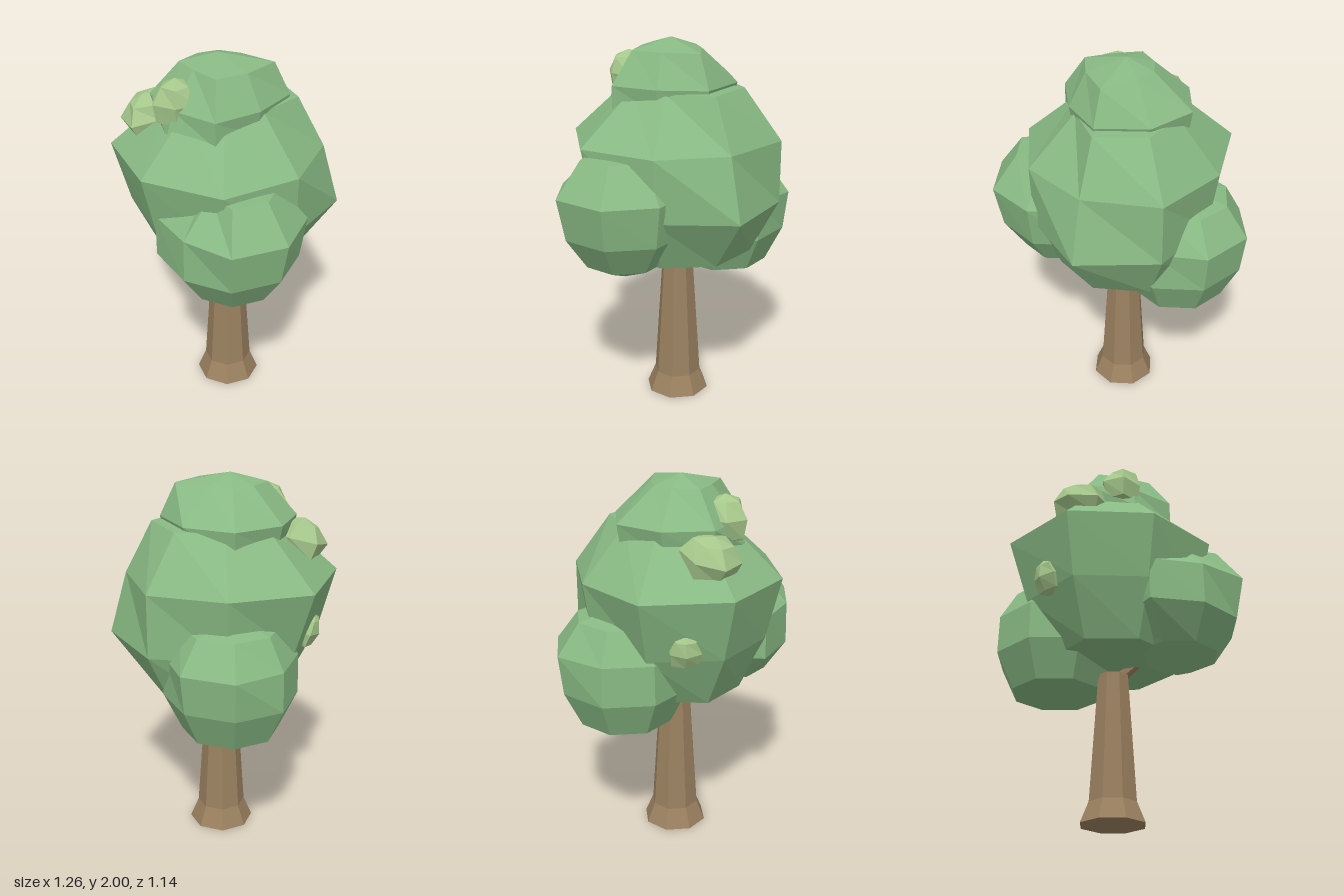
import * as THREE from 'three';

const material = (color) => new THREE.MeshStandardMaterial({ color, flatShading: true });

// Faceted solid from stacked rings [y, radius or radii per side]; radius 0 is a pole.
// Side 0 points to +x and the sides run towards +z.
function ringSolid(rings, sides) {
  const point = (j, k) => {
    const [y, radius] = rings[j];
    const r = Array.isArray(radius) ? radius[k % sides] : radius;
    const a = (k / sides) * Math.PI * 2;
    return [r * Math.cos(a), y, r * Math.sin(a)];
  };
  const positions = [];
  for (let j = 0; j < rings.length - 1; j++) {
    for (let k = 0; k < sides; k++) {
      const a = point(j, k), b = point(j, k + 1), c = point(j + 1, k + 1), d = point(j + 1, k);
      if (rings[j + 1][1] !== 0) positions.push(...a, ...d, ...c);
      if (rings[j][1] !== 0) positions.push(...a, ...c, ...b);
    }
  }
  const geometry = new THREE.BufferGeometry();
  geometry.setAttribute('position', new THREE.Float32BufferAttribute(positions, 3));
  geometry.computeVertexNormals();
  return geometry;
}

export function createModel() {
  const tree = new THREE.Group();
  tree.name = 'tree';
  const bark = material(0x9b8160);
  const leaf = material(0x88b983);
  const lightLeaf = material(0xa6c88c);

  const add = (name, geometry, mat, x = 0, y = 0, z = 0) => {
    const mesh = new THREE.Mesh(geometry, mat);
    mesh.name = name;
    mesh.position.set(x, y, z);
    tree.add(mesh);
    return mesh;
  };

  // Trunk with flared foot
  add('trunk', ringSolid([
    [0, 0], [0, 0.175], [0.11, 0.13], [0.8, 0.085], [0.81, 0],
  ], 8), bark, -0.025);

  // Short branches into the side clumps
  const up = new THREE.Vector3(0, 1, 0);
  for (const [name, end] of [
    ['leftBranch', new THREE.Vector3(0.14, 0.92, 0.12)],
    ['rightBranch', new THREE.Vector3(-0.17, 0.9, -0.12)],
  ]) {
    const start = new THREE.Vector3(-0.02, 0.77, 0);
    const dir = end.clone().sub(start);
    const mid = start.clone().add(end).multiplyScalar(0.5);
    const branch = add(name, new THREE.CylinderGeometry(0.025, 0.035, dir.length(), 6), bark, mid.x, mid.y, mid.z);
    branch.quaternion.setFromUnitVectors(up, dir.normalize());
  }

  // Main crown, slightly uneven
  add('mainCrown', ringSolid([
    [0.82, 0],
    [0.87, [0.36, 0.36, 0.36, 0.36, 0.32, 0.38, 0.40, 0.38]],
    [1.16, [0.50, 0.50, 0.49, 0.51, 0.49, 0.47, 0.55, 0.59]],
    [1.49, [0.51, 0.57, 0.57, 0.60, 0.60, 0.52, 0.55, 0.50]],
    [1.76, [0.26, 0.27, 0.28, 0.30, 0.30, 0.28, 0.35, 0.36]],
    [1.8, 0],
  ], 8), leaf, -0.03);

  // Top clump
  add('topClump', ringSolid([
    [1.55, 0],
    [1.65, [0.28, 0.35, 0.34, 0.32, 0.31, 0.34, 0.30, 0.33]],
    [1.78, [0.30, 0.35, 0.30, 0.34, 0.34, 0.36, 0.35, 0.36]],
    [1.95, [0.21, 0.23, 0.16, 0.19, 0.15, 0.15, 0.16, 0.28]],
    [2.0, 0],
  ], 8), leaf, -0.05, 0, 0.04);

  // Low side clumps
  add('leftClump', ringSolid([
    [0.77, 0], [0.87, 0.22],
    [1.04, [0.335, 0.335, 0.335, 0.39, 0.335, 0.335, 0.335, 0.335]],
    [1.265, [0.38, 0.38, 0.33, 0.39, 0.35, 0.35, 0.35, 0.37]],
    [1.45, [0.24, 0.24, 0.15, 0.13, 0.18, 0.2, 0.2, 0.22]],
    [1.47, 0],
  ], 8), leaf, 0.25, 0, 0.22);
  add('rightClump', ringSolid([
    [0.72, 0], [0.735, 0.25], [0.93, 0.345],
    [1.14, [0.34, 0.34, 0.34, 0.34, 0.34, 0.37, 0.37, 0.34]],
    [1.3, 0.25], [1.36, 0],
  ], 8), leaf, -0.27, 0, -0.2);

  // Light leaf tufts: centre, half sizes, rotation
  const tuft = ringSolid([
    [-1, 0],
    [-0.65, [0.7, 0.8, 0.9, 0.75, 0.85, 0.7]],
    [0.1, [1, 0.95, 1.05, 1, 0.95, 1.05]],
    [0.75, [0.6, 0.75, 0.65, 0.5, 0.6, 0.7]],
    [1, 0],
  ], 6);
  const tufts = [
    ['topTuft', [-0.095, 1.79, 0.28], [0.125, 0.13, 0.115], [0, 0.3, 0]],
    ['shoulderTuft', [-0.325, 1.655, 0.265], [0.15, 0.115, 0.15], [0.15, 0.8, 0.15]],
    ['sideTuft', [-0.465, 1.215, 0.18], [0.06, 0.1, 0.09], [0, 0.4, 0.35]],
  ];
  for (const [name, position, size, turn] of tufts) {
    const mesh = add(name, tuft, lightLeaf, ...position);
    mesh.scale.set(...size);
    mesh.rotation.set(...turn);
  }

  return tree;
}
